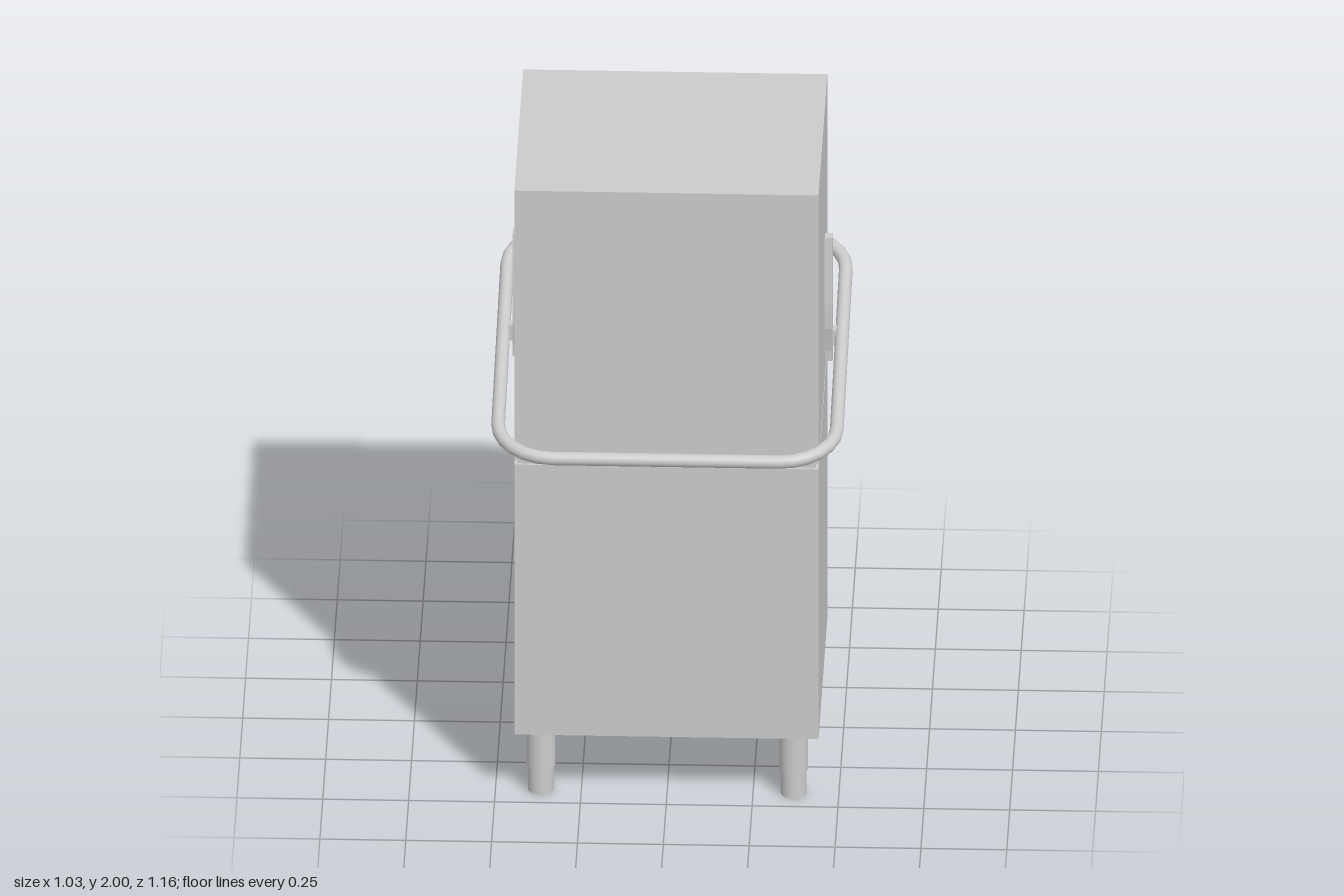
import * as THREE from 'three';

const material = new THREE.MeshStandardMaterial({ color: 0xcccccc });

function add(parent, name, geometry, x = 0, y = 0, z = 0) {
  const mesh = new THREE.Mesh(geometry, material);
  mesh.name = name;
  mesh.position.set(x, y, z);
  parent.add(mesh);
  return mesh;
}

// Box spanning y0..y1 over the cabinet footprint, inset on all sides
function cabinetBox(parent, name, y0, y1, inset = 0) {
  const geometry = new THREE.BoxGeometry(0.886 - 2 * inset, y1 - y0, 0.76 - 2 * inset);
  add(parent, name, geometry, 0, (y0 + y1) / 2, 0.102);
}

// Closed rounded-rectangle path for the tilted handle
function handlePath() {
  const w = 0.493, d = 0.558, r = 0.165;
  const path = new THREE.CurvePath();
  const at = (x, z) => new THREE.Vector3(x, 1.244 - z * 0.147, z);
  const corners = [[1, 1], [-1, 1], [-1, -1], [1, -1]];
  const points = [];
  corners.forEach(([sx, sz], i) => {
    for (let k = 0; k <= 6; k++) {
      const a = (i + k / 6) * Math.PI / 2;
      points.push(at(sx * (w - r) + r * Math.cos(a), sz * (d - r) + r * Math.sin(a)));
    }
  });
  points.forEach((p, i) => path.add(new THREE.LineCurve3(p, points[(i + 1) % points.length])));
  // Sample at the corner points so straight runs stay straight
  path.getPointAt = (u) => path.getPoint(u);
  path.getPoint = (t) => {
    const f = (t % 1) * points.length, i = Math.floor(f + 1e-6) % points.length;
    return points[i].clone().lerp(points[(i + 1) % points.length], Math.max(0, f - Math.floor(f + 1e-6)));
  };
  // Central tangent at each corner point gives mitred joints
  path.getTangentAt = (t) => {
    const n = points.length, i = Math.round(t * n) % n;
    const before = points[i].clone().sub(points[(i + n - 1) % n]).normalize();
    const after = points[(i + 1) % n].clone().sub(points[i]).normalize();
    return before.add(after).normalize();
  };
  return { path, count: points.length };
}

export function createModel() {
  const model = new THREE.Group();
  model.name = 'hoodDishwasher';

  // Base cabinet, recessed seam and lifting hood
  cabinetBox(model, 'baseCabinet', 0.213, 1.1);
  cabinetBox(model, 'seam', 1.1, 1.117, 0.009);
  cabinetBox(model, 'hood', 1.117, 2);

  // Stepped feet
  for (const x of [-0.368, 0.368]) {
    for (const z of [0.412, -0.2]) {
      const foot = new THREE.Group();
      foot.name = 'foot';
      foot.position.set(x, 0, z);
      add(foot, 'footSleeve', new THREE.CylinderGeometry(0.042, 0.042, 0.133, 24), 0, 0.1465, 0);
      add(foot, 'footTip', new THREE.CylinderGeometry(0.038, 0.038, 0.08, 24), 0, 0.04, 0);
      model.add(foot);
    }
  }

  // Wrap-around handle
  const { path, count } = handlePath();
  add(model, 'handle', new THREE.TubeGeometry(path, count, 0.02, 16, true));

  // Side lever plates, profile in (z, y), with a block joining the handle
  const profile = [[-0.085, 1.175], [-0.055, 1.175], [-0.053, 1.21], [-0.037, 1.29],
    [-0.035, 1.37], [-0.049, 1.58], [-0.085, 1.58]];
  const shape = new THREE.Shape(profile.map(([z, y]) => new THREE.Vector2(-z, y)));
  for (const side of [-1, 1]) {
    const lever = new THREE.ExtrudeGeometry(shape, { depth: 0.024, bevelEnabled: false });
    lever.rotateY(Math.PI / 2);
    add(model, 'lever', lever, side > 0 ? 0.442 : -0.466, 0, 0);
    add(model, 'handleMount', new THREE.BoxGeometry(0.035, 0.05, 0.035), side * 0.46, 1.253, -0.067);
  }

  return model;
}
